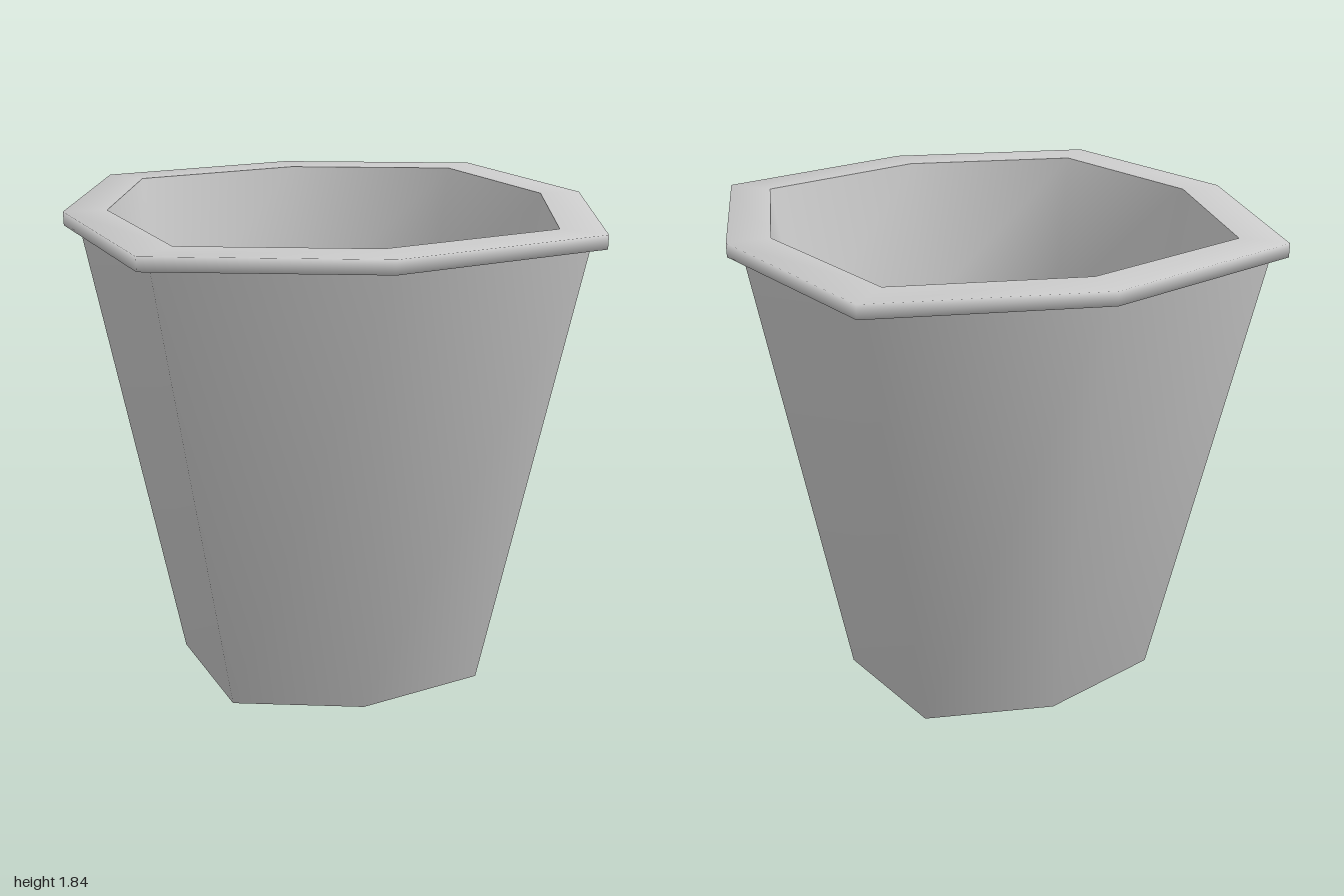
import * as THREE from 'three';

const SIDES = 8;
const CORNER = 1.117; // the diagonal corners stand further out, like a rounded square

// Sweeps a [radius, height] profile around the eight-cornered plan with smooth normals.
function loft(profile, lift = () => 0) {
  const positions = [];
  const index = [];
  for (const [radius, y] of profile) {
    for (let i = 0; i < SIDES; i++) {
      const angle = (i / SIDES) * Math.PI * 2;
      const r = radius * (i % 2 ? CORNER : 1);
      const x = r * Math.cos(angle);
      const z = r * Math.sin(angle);
      positions.push(x, y + lift(x, z), z);
    }
  }
  for (let j = 0; j < profile.length - 1; j++) {
    for (let i = 0; i < SIDES; i++) {
      const n = (i + 1) % SIDES;
      const a = j * SIDES + i, b = a + SIDES;
      const c = j * SIDES + n, d = c + SIDES;
      if (profile[j][0] > 0) index.push(a, b, c);
      if (profile[j + 1][0] > 0) index.push(c, b, d);
      else index.push(a, b, c).length && index.splice(-3, 3);
    }
  }
  const geometry = new THREE.BufferGeometry();
  geometry.setAttribute('position', new THREE.Float32BufferAttribute(positions, 3));
  geometry.setIndex(index);
  geometry.computeVertexNormals();
  return geometry;
}

export function createModel() {
  const group = new THREE.Group();
  group.name = 'plantPot';
  const material = new THREE.MeshStandardMaterial({ color: 0xcccccc });
  const add = (name, geometry) => {
    const mesh = new THREE.Mesh(geometry, material);
    mesh.name = name;
    group.add(mesh);
  };

  // Tapered outer wall with its closed base
  add('outerWall', loft([[0, 0], [0.62, 0], [0.945, 1.79]]));

  // Overhanging lip
  add('rim', loft([[0.94, 1.79], [1, 1.79], [1, 1.84], [0.84, 1.84]]));

  // Inside wall, running down past the soil
  add('innerWall', loft([[0.84, 1.84], [0.73, 1.22]]));

  // Slightly tilted soil, higher towards the back right
  add('soil', loft([[0.748, 1.3], [0.4, 1.31], [0, 1.31]], (x, z) => -0.037 * (x + z)));

  return group;
}
